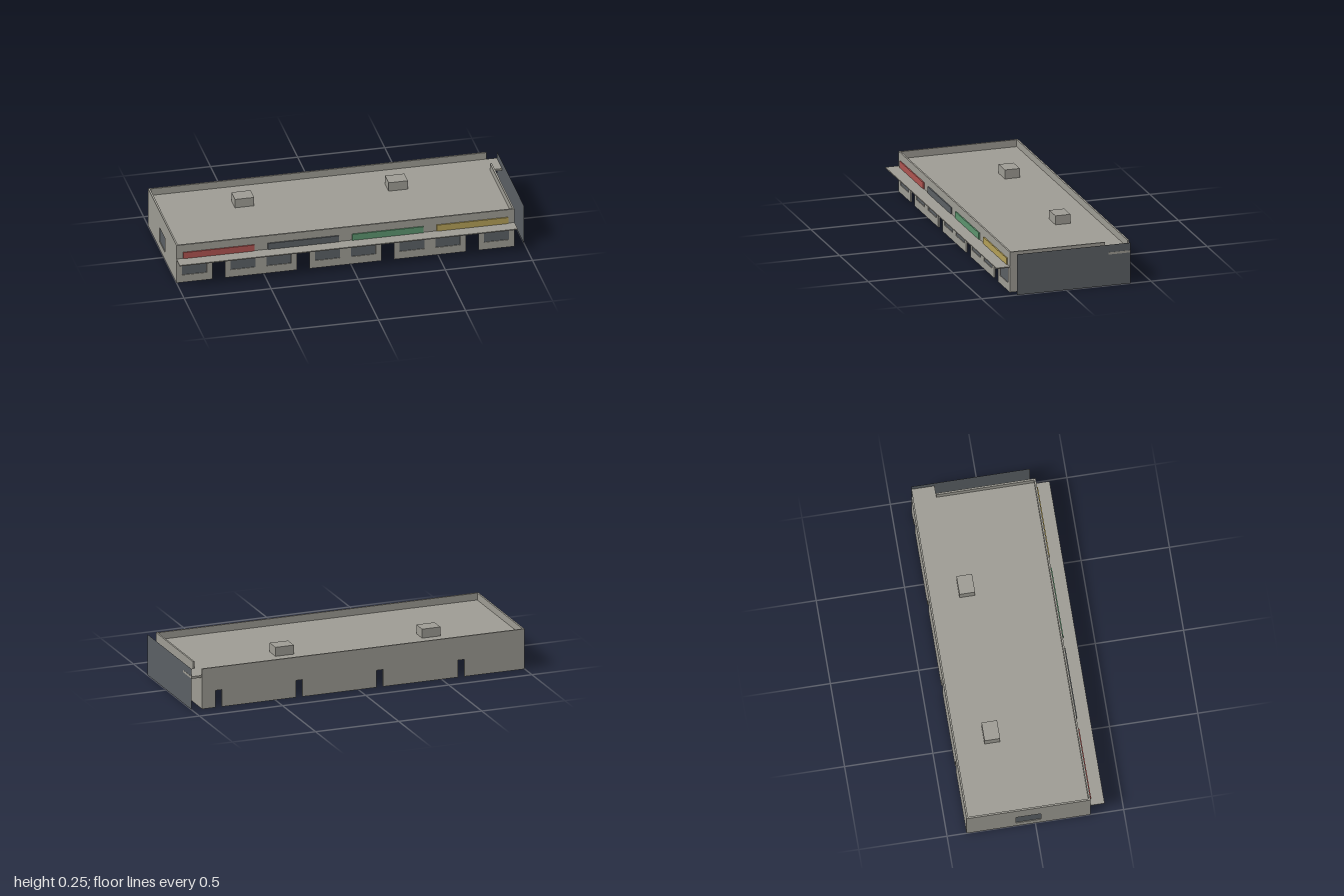
import * as THREE from 'three';

const X0 = -1, X1 = 0.94, Z0 = -0.39, Z1 = 0.313; // building footprint
const H = 0.236, T = 0.01, ROOF = 0.195;          // wall height, wall thickness, roof deck
const UNIT = (X1 - X0) / 4;                       // width of one shop
const WIN_LOW = 0.046, WIN_HIGH = 0.135;

function material(name, color) {
  const m = new THREE.MeshStandardMaterial({ color, side: THREE.DoubleSide });
  m.name = name;
  return m;
}

export function createModel() {
  const concrete = material('concrete', 0x9e9c94);
  const slate = material('slate', 0x5b6064);
  const red = material('signRed', 0xae5450);
  const green = material('signGreen', 0x5c946e);
  const yellow = material('signYellow', 0xb4a058);

  const model = new THREE.Group();
  model.name = 'shopRow';

  function add(name, geometry, mat) {
    const mesh = new THREE.Mesh(geometry, mat);
    mesh.name = name;
    model.add(mesh);
    return mesh;
  }

  // Box given by its lower and upper corners
  function box(name, mat, x0, x1, y0, y1, z0, z1) {
    const mesh = add(name, new THREE.BoxGeometry(x1 - x0, y1 - y0, z1 - z0), mat);
    mesh.position.set((x0 + x1) / 2, (y0 + y1) / 2, (z0 + z1) / 2);
    return mesh;
  }

  // Wall outline with door notches [left, right, top] along the ground
  function wallShape(a, b, doors = []) {
    const points = [[a, 0]];
    for (const [l, r, top] of doors) points.push([l, 0], [l, top], [r, top], [r, 0]);
    points.push([b, 0], [b, H], [a, H]);
    return new THREE.Shape(points.map(([x, y]) => new THREE.Vector2(x, y)));
  }

  function cutWindow(shape, a, b) {
    shape.holes.push(new THREE.Path([[a, WIN_LOW], [a, WIN_HIGH], [b, WIN_HIGH], [b, WIN_LOW]]
      .map(([x, y]) => new THREE.Vector2(x, y))));
  }

  const extrude = (shape) => new THREE.ExtrudeGeometry(shape, { depth: T, bevelEnabled: false });
  const centres = [0, 1, 2, 3].map((i) => X0 + UNIT * (i + 0.5));

  // Front wall with doorways, windows and signs
  const front = wallShape(X0, X1, centres.map((c) => [c - 0.037, c + 0.037, 0.107]));
  const signColours = [red, slate, green, yellow];
  centres.forEach((c, i) => {
    for (const side of [-1, 1]) {
      const mid = c + side * 0.14;
      cutWindow(front, mid - 0.072, mid + 0.072);
      box('frontWindow', slate, mid - 0.072, mid + 0.072, WIN_LOW, WIN_HIGH, Z1 - 0.007, Z1 - 0.004);
    }
    box('shopSign', signColours[i], c - 0.205, c + 0.205, 0.152, 0.19, Z1, Z1 + 0.007);
  });
  add('frontWall', extrude(front), concrete).position.z = Z1 - T;

  // Back wall with service doorways
  const backDoors = [-0.618, -0.13, 0.355, 0.84].map((c) => [c - 0.02, c + 0.02, 0.1]);
  add('backWall', extrude(wallShape(X0, X1, backDoors)), concrete).position.z = Z0;

  // Window side wall
  const zMid = (Z0 + Z1) / 2;
  const windowSide = wallShape(Z0 + T, Z1 - T);
  cutWindow(windowSide, zMid - 0.07, zMid + 0.07);
  const windowWall = add('windowSideWall', extrude(windowSide), concrete);
  windowWall.rotation.y = -Math.PI / 2;
  windowWall.position.x = X0 + T;
  box('sideWindow', slate, X0 + 0.004, X0 + 0.007, WIN_LOW, WIN_HIGH, zMid - 0.07, zMid + 0.07);

  // Stair side wall, its parapet open at the landing
  const stairSide = new THREE.Shape([
    [Z0 + T, 0], [Z1 - T, 0], [Z1 - T, H], [-0.25, H], [-0.25, ROOF], [Z0 + T, ROOF],
  ].map(([x, y]) => new THREE.Vector2(x, y)));
  const stairWall = add('stairSideWall', extrude(stairSide), concrete);
  stairWall.rotation.y = -Math.PI / 2;
  stairWall.position.x = X1;

  // Roof deck, canopy, landing and side screen
  box('roofDeck', concrete, X0 + T, X1 - T, 0.183, ROOF, Z0 + T, Z1 - T);
  box('canopy', concrete, X0, X1, 0.145, 0.151, Z1, 0.392);
  box('landing', concrete, X1, 1, 0.182, ROOF, -0.38, -0.25);
  const screen = add('sideScreen', new THREE.PlaneGeometry(0.671, 0.239), slate);
  screen.rotation.y = Math.PI / 2;
  screen.position.set(0.999, 0.1195, -0.0435);

  // Rooftop units
  for (const x of [-0.507, 0.375]) {
    box('roofUnit', concrete, x - 0.055, x + 0.055, ROOF, 0.248, -0.217, -0.129);
  }

  return model;
}
